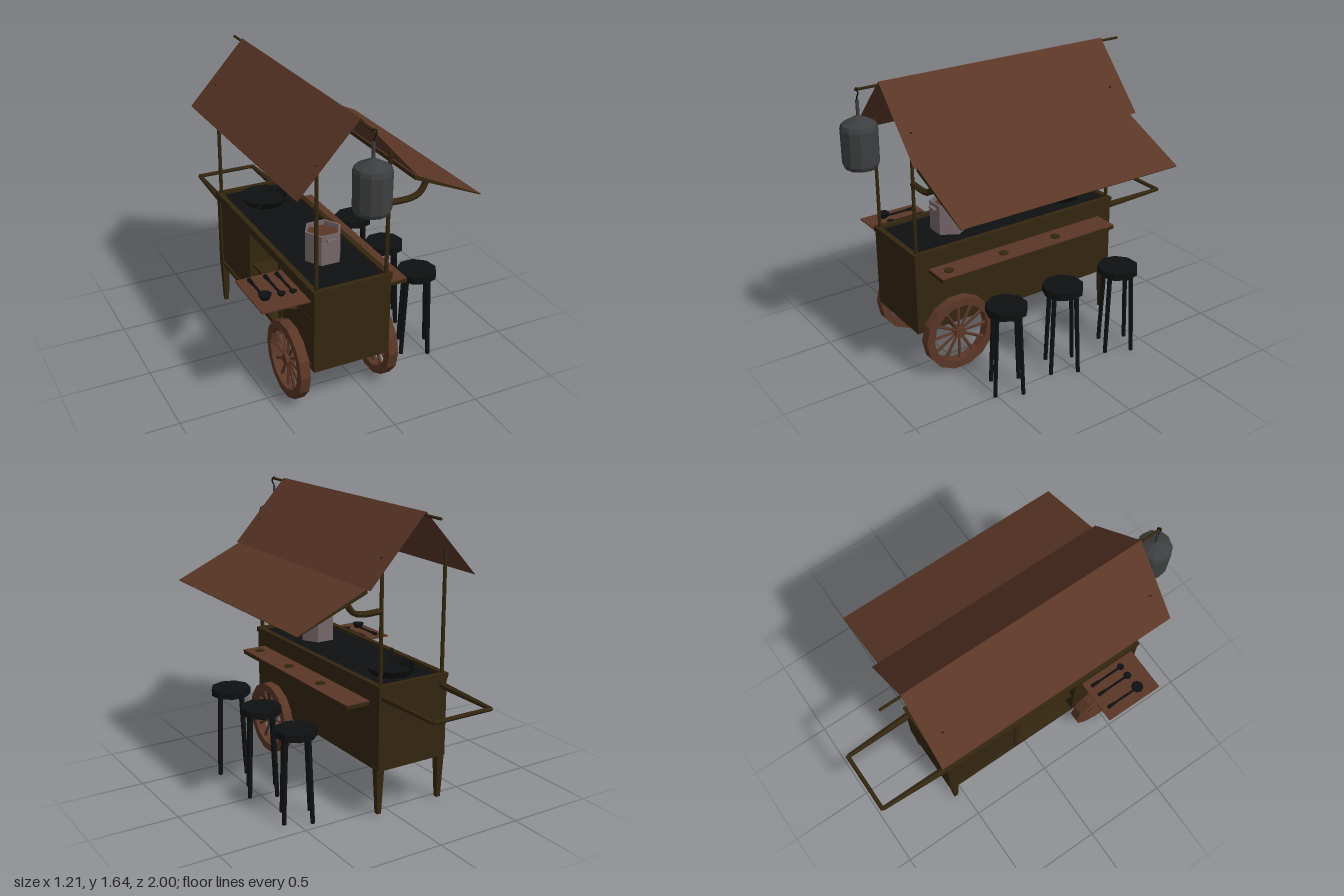
import * as THREE from 'three';

const mat = (name, color, side = THREE.FrontSide) => {
  const m = new THREE.MeshStandardMaterial({ color, side });
  m.name = name;
  return m;
};
const wood = mat('dark olive wood', 0x33260f);
const brown = mat('reddish brown wood', 0x5a3626, THREE.DoubleSide);
const black = mat('black iron', 0x0e1011);
const lanternGrey = mat('lantern grey', 0x3d3e3f, THREE.DoubleSide);
const potGrey = mat('pot metal', 0x75676a, THREE.DoubleSide);

export function createModel() {
  const root = new THREE.Group();
  root.name = 'foodCart';

  // Faceted mesh helper
  const add = (name, geo, material, parent = root) => {
    const flat = geo.index ? geo.toNonIndexed() : geo;
    flat.computeVertexNormals();
    const mesh = new THREE.Mesh(flat, material);
    mesh.name = name;
    parent.add(mesh);
    return mesh;
  };
  // Box given by its min and max on each axis
  const box = (name, x0, x1, y0, y1, z0, z1, material, parent) => {
    const m = add(name, new THREE.BoxGeometry(x1 - x0, y1 - y0, z1 - z0), material, parent);
    m.position.set((x0 + x1) / 2, (y0 + y1) / 2, (z0 + z1) / 2);
    return m;
  };
  // Tapered rod from a to b
  const rod = (name, a, b, ra, rb, material, sides = 6, parent) => {
    const p = new THREE.Vector3(...a), q = new THREE.Vector3(...b);
    const d = q.clone().sub(p);
    const geo = new THREE.CylinderGeometry(rb, ra, d.length(), sides, 1, false, sides === 4 ? Math.PI / 4 : 0);
    const m = add(name, geo, material, parent);
    m.position.copy(p).add(q).multiplyScalar(0.5);
    m.quaternion.setFromUnitVectors(new THREE.Vector3(0, 1, 0), d.normalize());
    return m;
  };
  const tube = (name, pts, r, material, parent) => {
    const curve = new THREE.CatmullRomCurve3(pts.map(p => new THREE.Vector3(...p)));
    return add(name, new THREE.TubeGeometry(curve, 12, r, 6), material, parent);
  };
  const lathe = (name, pts, sides, material, parent) =>
    add(name, new THREE.LatheGeometry(pts.map(p => new THREE.Vector2(...p)), sides), material, parent);

  // Cabinet, open on its right side in the middle bay
  const body = new THREE.Group();
  body.name = 'cabinet';
  root.add(body);
  box('cabinetFloor', -0.34, 0.1, 0.265, 0.29, -0.58, 0.74, wood, body);
  box('cabinetTop', -0.34, 0.1, 0.69, 0.718, -0.58, 0.74, wood, body);
  box('counterWall', 0.08, 0.1, 0.29, 0.69, -0.58, 0.74, wood, body);
  for (const [z0, z1] of [[-0.58, -0.54], [-0.12, -0.09], [0.3, 0.33], [0.71, 0.74]])
    box('cabinetDivider', -0.34, 0.08, 0.29, 0.69, z0, z1, wood, body);
  box('cabinetDoor', -0.33, -0.31, 0.29, 0.69, -0.54, -0.12, wood, body);
  box('cabinetDoor', -0.33, -0.31, 0.29, 0.55, 0.33, 0.71, wood, body);
  box('drawerFront', -0.335, -0.31, 0.56, 0.69, 0.33, 0.71, wood, body);
  box('innerShelf', -0.32, 0.08, 0.47, 0.485, -0.09, 0.3, wood, body);

  // Worktop with raised rim
  box('worktop', -0.32, 0.08, 0.718, 0.724, -0.56, 0.72, black);
  for (const [x0, x1] of [[-0.345, -0.315], [0.075, 0.105]])
    box('worktopRim', x0, x1, 0.712, 0.742, -0.585, 0.745, wood);
  for (const [z0, z1] of [[-0.585, -0.555], [0.715, 0.745]])
    box('worktopRim', -0.345, 0.105, 0.712, 0.742, z0, z1, wood);

  // Customer counter with coasters
  box('customerCounter', 0.1, 0.245, 0.615, 0.636, -0.49, 0.66, wood);
  box('customerCounterTop', 0.1, 0.245, 0.636, 0.64, -0.49, 0.66, brown);
  for (const z of [0.58, 0.23, -0.12])
    add('coaster', new THREE.CylinderGeometry(0.028, 0.028, 0.006, 8), wood).position.set(0.175, 0.643, z);

  // Roof posts, rear legs, awning brackets and push handle arms
  for (const x of [-0.32, 0.08]) {
    for (const z of [0.72, -0.56])
      rod('roofPost', [x, 0.72, z], [x, 1.42, z], 0.011, 0.01, wood);
    rod('rearLeg', [x, 0.01, -0.55], [x, 0.28, -0.55], 0.018, 0.032, wood, 4);
  }
  for (const z of [0.72, -0.56])
    tube('awningBracket', [[0.08, 1.14, z], [0.2, 1.14, z], [0.25, 1.155, z], [0.28, 1.19, z], [0.295, 1.235, z]], 0.017, wood);
  for (const [x, xe] of [[-0.31, -0.3], [0.07, 0.06]])
    rod('handleArm', [x, 0.675, -0.57], [xe, 0.672, -0.985], 0.022, 0.013, wood);
  rod('handleBar', [-0.305, 0.672, -0.987], [0.065, 0.672, -0.987], 0.012, 0.012, wood);

  // Gabled roof: two thin slopes meeting over the ridge pole
  const pitch = Math.atan2(0.36, 0.33);
  for (const s of [-1, 1]) {
    const g = new THREE.PlaneGeometry(Math.hypot(0.36, 0.33), 1.43);
    g.rotateX(-Math.PI / 2).rotateZ(-s * pitch);
    add('roofSlope', g, brown).position.set(-0.12 + s * 0.165, 1.46, 0.065);
  }
  rod('ridgePole', [-0.12, 1.622, -0.77], [-0.12, 1.622, 0.91], 0.008, 0.008, wood);

  // Awning: tapered board with a brown cover
  const awning = new THREE.Shape([[0.2, 1.258], [0.6, 1.095], [0.603, 1.098], [0.2, 1.28]]
    .map(p => new THREE.Vector2(...p)));
  add('awningBoard', new THREE.ExtrudeGeometry(awning, { depth: 1.37, bevelEnabled: false }), wood).position.z = -0.61;
  const cover = new THREE.PlaneGeometry(Math.hypot(0.403, 0.182), 1.37);
  cover.rotateX(-Math.PI / 2).rotateZ(-Math.atan2(0.182, 0.403));
  add('awningCover', cover, brown).position.set(0.4025, 1.191, 0.075);

  // Wheels
  for (const x of [-0.38, 0.142]) {
    const wheel = new THREE.Group();
    wheel.name = 'wheel';
    wheel.position.set(x, 0.227, 0.51);
    root.add(wheel);
    lathe('wheelRim', [[0.17, -0.028], [0.217, -0.028], [0.217, 0.028], [0.17, 0.028], [0.17, -0.028]], 14, brown, wheel)
      .rotation.z = Math.PI / 2;
    add('wheelHub', new THREE.CylinderGeometry(0.032, 0.032, 0.05, 10), brown, wheel).rotation.z = Math.PI / 2;
    for (let i = 0; i < 12; i++) {
      const a = (i / 12) * Math.PI * 2, c = Math.cos(a), s = Math.sin(a);
      rod('wheelSpoke', [0, 0.02 * c, 0.02 * s], [0, 0.18 * c, 0.18 * s], 0.007, 0.011, brown, 5, wheel);
    }
  }
  rod('axle', [-0.4, 0.235, 0.51], [0.165, 0.235, 0.51], 0.009, 0.009, wood);
  box('axleBlock', -0.2, -0.045, 0.21, 0.265, 0.42, 0.6, wood);

  // Side tray with bracket and ladles
  box('sideTray', -0.605, -0.34, 0.666, 0.674, 0.345, 0.7, brown);
  tube('trayBracket', [[-0.55, 0.668, 0.52], [-0.548, 0.635, 0.52], [-0.52, 0.6, 0.52], [-0.44, 0.567, 0.52], [-0.335, 0.53, 0.52]], 0.009, wood);
  [[-0.54, 0.036, 0.03], [-0.45, 0.024, 0.014], [-0.385, 0.022, 0.01]].forEach(([x, r, h]) => {
    add('ladleBowl', new THREE.CylinderGeometry(r, r * 0.6, h, 8), black).position.set(x, 0.676 + h / 2, 0.585);
    rod('ladleHandle', [x, 0.682, 0.57], [x, 0.682, 0.39], 0.007, 0.007, black);
    rod('ladleGrip', [x, 0.682, 0.43], [x, 0.682, 0.38], 0.009, 0.012, black);
  });

  // Cooking pot
  const pot = new THREE.Group();
  pot.name = 'cookingPot';
  pot.position.set(-0.12, 0.725, 0.395);
  root.add(pot);
  lathe('potWall', [[0, 0], [0.105, 0], [0.105, 0.17], [0.093, 0.17], [0.093, 0.14]], 6, potGrey, pot).rotation.y = Math.PI / 6 * 3;
  add('potContents', new THREE.CylinderGeometry(0.094, 0.094, 0.006, 6), brown, pot).position.y = 0.142;
  pot.getObjectByName('potContents').rotation.y = Math.PI / 2;
  for (const s of [-1, 1])
    box('potHandle', -0.026, 0.026, 0.139, 0.15, s * 0.1 - 0.012, s * 0.1 + 0.012, potGrey, pot);

  // Frying pan
  lathe('fryingPan', [[0, 0], [0.115, 0], [0.142, 0.042], [0.132, 0.042], [0.11, 0.012], [0, 0.012]], 12, black)
    .position.set(-0.12, 0.724, -0.37);
  rod('panHandle', [-0.2, 0.755, -0.26], [-0.31, 0.755, -0.11], 0.009, 0.008, black);

  // Hanging lantern
  const lantern = new THREE.Group();
  lantern.name = 'lantern';
  lantern.position.set(-0.12, 0, 0.902);
  root.add(lantern);
  lathe('lanternBody', [[0, 1.212], [0.085, 1.212], [0.097, 1.235], [0.098, 1.42], [0.09, 1.445], [0.02, 1.483], [0.009, 1.49], [0.009, 1.57], [0, 1.57]],
    11, lanternGrey, lantern);
  tube('lanternHook', [[0, 1.565, 0], [0.002, 1.585, 0], [0.013, 1.603, 0], [0.01, 1.625, 0], [-0.004, 1.63, 0], [-0.01, 1.618, 0]], 0.004, black, lantern);

  // Stools
  for (const z of [0.41, 0.04, -0.345]) {
    const stool = new THREE.Group();
    stool.name = 'stool';
    stool.position.set(0.463, 0, z);
    root.add(stool);
    add('stoolSeat', new THREE.CylinderGeometry(0.114, 0.114, 0.04, 9), black, stool).position.y = 0.495;
    for (let i = 0; i < 4; i++) {
      const a = 0.35 + i * Math.PI / 2, c = Math.cos(a), s = Math.sin(a);
      rod('stoolLeg', [0.108 * s, 0, 0.108 * c], [0.085 * s, 0.48, 0.085 * c], 0.012, 0.014, black, 6, stool);
    }
  }
  return root;
}
